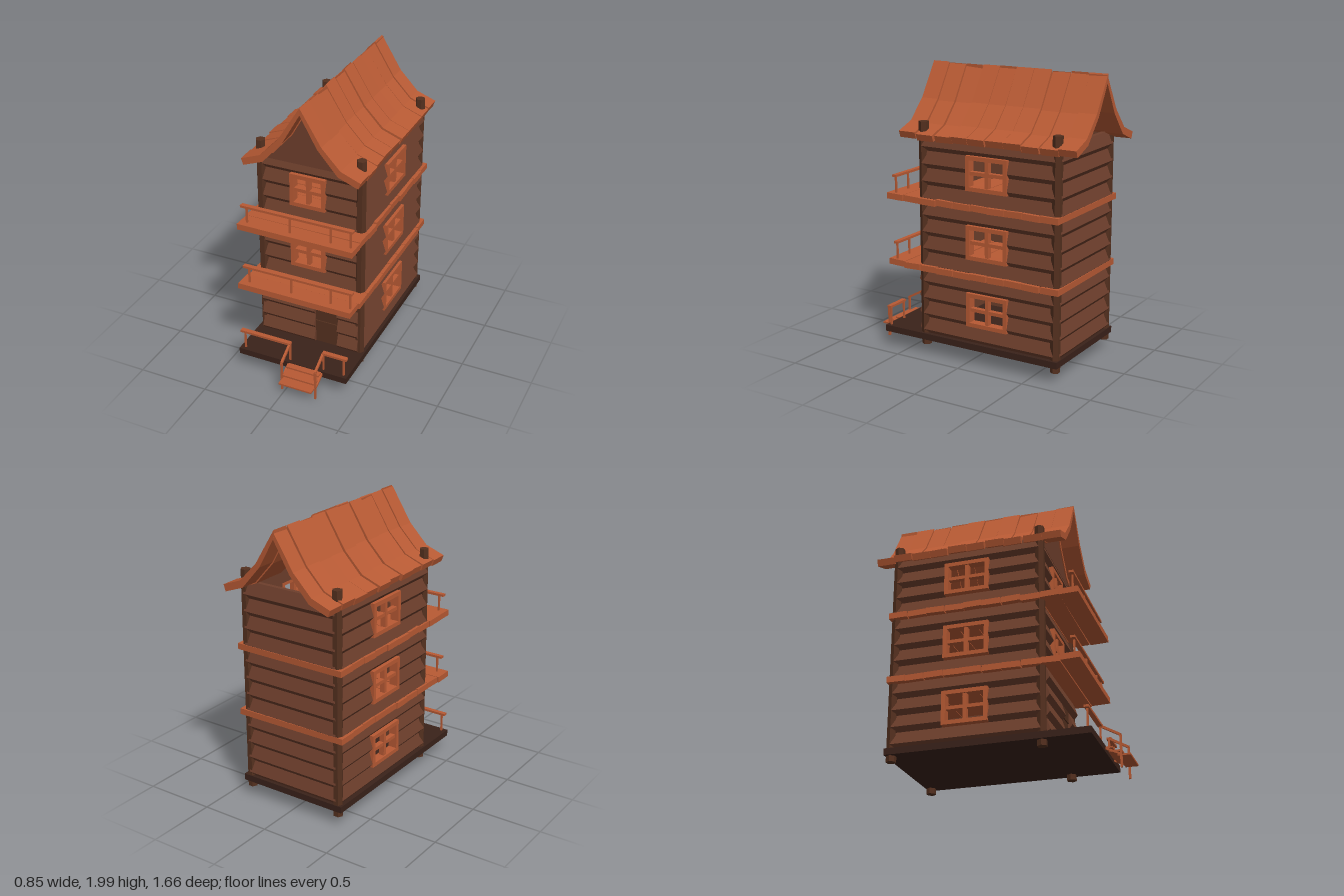
import * as THREE from 'three';

const mat = (color) => new THREE.MeshStandardMaterial({ color, flatShading: true, side: THREE.DoubleSide });
const orange = mat(0xb85a34), brown = mat(0x6e3f2c), postBrown = mat(0x54301f), dark = mat(0x3a221a), doorBrown = mat(0x54301f);

// Small seeded jitter in -1..1
let seed = 7;
const jitter = () => {
  seed = (seed * 16807) % 2147483647;
  return (seed / 2147483647) * 2 - 1;
};

function add(parent, name, geometry, material, x = 0, y = 0, z = 0) {
  const mesh = new THREE.Mesh(geometry, material);
  mesh.name = name;
  mesh.position.set(x, y, z);
  parent.add(mesh);
  return mesh;
}

// Box given by its minimum and maximum corners
function box(parent, name, material, x0, x1, y0, y1, z0, z1) {
  return add(parent, name, new THREE.BoxGeometry(x1 - x0, y1 - y0, z1 - z0), material,
    (x0 + x1) / 2, (y0 + y1) / 2, (z0 + z1) / 2);
}

// Sloped square bar between two points sharing the same x
function bar(parent, name, x, y0, z0, y1, z1, t) {
  const length = Math.hypot(y1 - y0, z1 - z0);
  const m = add(parent, name, new THREE.BoxGeometry(t, t, length), orange, x, (y0 + y1) / 2, (z0 + z1) / 2);
  m.rotation.x = -Math.atan2(y1 - y0, z1 - z0);
}

function extrude(points, depth) {
  const shape = new THREE.Shape(points.map(([x, y]) => new THREE.Vector2(x, y)));
  return new THREE.ExtrudeGeometry(shape, { depth, bevelEnabled: false });
}

const BASE = 0.15, PITCH = 0.1175, COURSES = 12;

// One lapped plank from a to b along local x, facing local +z
function plank(parent, a, b, y, out) {
  const g = extrude([[-0.03, y], [out, y], [out + 0.027, y + 0.033], [out, y + PITCH], [-0.03, y + PITCH]], b - a);
  g.rotateY(-Math.PI / 2);
  add(parent, 'wallPlank', g, brown, b, 0, 0);
}

// Window frame with crossing bars, two courses high
function windowFrame(parent, a, b, course) {
  const y0 = BASE + PITCH * course + 0.006, y1 = y0 + PITCH * 2;
  const w = new THREE.Group();
  w.name = 'window';
  parent.add(w);
  const xm = (a + b) / 2, ym = (y0 + y1) / 2, f = 0.028;
  for (const [l, r] of [[a, a + f], [b - f, b]]) box(w, 'frameSide', orange, l, r, y0, y1, -0.03, 0.032);
  for (const [l, r] of [[y0, y0 + f], [y1 - f, y1]]) box(w, 'frameEnd', orange, a + f, b - f, l, r, -0.03, 0.032);
  box(w, 'uprightBar', orange, xm - 0.013, xm + 0.013, y0 + f, y1 - f, -0.015, 0.022);
  box(w, 'crossBar', orange, a + f, b - f, ym - 0.012, ym + 0.012, -0.016, 0.02);
}

// Wall of planks; openings are {a, b, from, to, window}
function wall(house, name, x, z, turn, a, b, openings, outAt = () => 0) {
  const g = new THREE.Group();
  g.name = name;
  g.position.set(x, 0, z);
  g.rotation.y = turn;
  house.add(g);
  for (let i = 0; i < COURSES; i++) {
    const y = BASE + PITCH * i;
    const hole = openings.find((o) => i >= o.from && i <= o.to);
    if (hole) {
      plank(g, a, hole.a, y, outAt(i));
      plank(g, hole.b, b, y, outAt(i));
    } else plank(g, a, b, y, outAt(i));
  }
  for (const o of openings) if (o.window) windowFrame(g, o.a, o.b, o.from);
}

// Railing along x with posts
function railing(parent, x0, x1, y0, y1, z, posts) {
  const g = new THREE.Group();
  g.name = 'railing';
  parent.add(g);
  box(g, 'handrail', orange, x0, x1, y1 - 0.016, y1, z - 0.016, z + 0.016);
  for (const x of posts) box(g, 'railPost', orange, x - 0.006, x + 0.006, y0, y1 - 0.016, z - 0.006, z + 0.006);
}

export function createModel() {
  const house = new THREE.Group();
  house.name = 'timberHouse';

  // Ground platform and corner posts
  box(house, 'platform', dark, -0.405, 0.405, 0.11, 0.155, -0.705, 0.67);
  for (const x of [-0.36, 0.36]) for (const z of [0.345, -0.67]) {
    const g = new THREE.CylinderGeometry(0.034, 0.034, 1.57, 6);
    g.rotateY(Math.PI / 2);
    add(house, 'cornerPost', g, postBrown, x, 0.855, z);
  }

  // Walls, with windows on three storeys at the sides and two at the front
  const storeys = (a, b, starts) => starts.map((from) => ({ a, b, from, to: from + 1, window: true }));
  wall(house, 'leftWall', 0.368, 0, Math.PI / 2, -0.345, 0.67, storeys(0.005, 0.32, [1, 5, 9]));
  wall(house, 'rightWall', -0.368, 0, -Math.PI / 2, -0.67, 0.345, storeys(-0.32, -0.005, [1, 5, 9]));
  wall(house, 'backWall', 0, -0.677, Math.PI, -0.36, 0.36, []);
  wall(house, 'frontWall', 0, 0.345, 0, -0.36, 0.36,
    [{ a: 0.04, b: 0.21, from: 0, to: 2 }, ...storeys(-0.14, 0.115, [5, 9])], (i) => (i < 4 ? 0.026 : 0));

  // Door of stacked panels
  for (let i = 0; i < 4; i++) {
    box(house, 'doorPanel', doorBrown, 0.04, 0.21, 0.155 + i * 0.089, 0.242 + i * 0.089, 0.33, 0.365 + (i % 2) * 0.006);
  }

  // Front gable; the back stays open
  add(house, 'frontGable', extrude([[-0.36, 1.52], [0.36, 1.52], [0.26, 1.585], [0.11, 1.74], [0, 1.96],
    [-0.125, 1.745], [-0.27, 1.59]], 0.03), brown, 0, 0, 0.33);

  // Upper floors of cross boards, reaching out as balconies
  for (const y of [0.632, 1.103]) {
    for (let i = 0; i < 10; i++) {
      const m = add(house, 'floorBoard', new THREE.BoxGeometry(0.83, 0.042, 0.129), orange,
        jitter() * 0.008, y + jitter() * 0.003, 0.553 - i * 0.133);
      m.rotation.y = jitter() * 0.012;
      m.rotation.x = jitter() * 0.05;
    }
    railing(house, -0.4, 0.405, y + 0.02, y + 0.152, 0.566, [-0.36, -0.045, 0.245, 0.385]);
  }

  // Ground railings on both sides of the stairs
  railing(house, -0.4, -0.02, 0.155, 0.3, 0.64, [-0.37, -0.025]);
  railing(house, 0.22, 0.4, 0.155, 0.3, 0.64, [0.225, 0.375]);

  // Stairs
  const stairs = new THREE.Group();
  stairs.name = 'stairs';
  house.add(stairs);
  [[0.08, 0.745, 0.83], [0.11, 0.695, 0.775], [0.138, 0.65, 0.715]].forEach(([y, z0, z1]) =>
    box(stairs, 'step', orange, -0.022, 0.222, y, y + 0.012, z0, z1));
  for (const x of [-0.025, 0.225]) {
    box(stairs, 'stairPost', orange, x - 0.007, x + 0.007, 0, 0.22, 0.763, 0.777);
    bar(stairs, 'stairRail', x, 0.292, 0.64, 0.218, 0.772, 0.016);
    bar(stairs, 'stringer', x, 0.14, 0.66, 0.085, 0.775, 0.014);
  }

  // Curved roof of bent boards, mirrored about the ridge
  const profile = [[0, 1.99], [0.148, 1.752], [0.28, 1.615], [0.418, 1.563], [0.402, 1.518], [0.262, 1.57], [0.12, 1.73], [0, 1.94]];
  for (const side of [1, -1]) {
    const half = new THREE.Group();
    half.name = side > 0 ? 'leftRoof' : 'rightRoof';
    house.add(half);
    for (let i = 0; i < 10; i++) {
      const g = extrude(profile.map(([x, y]) => [x * side, y]), 0.129);
      g.translate(0, 0, -0.0645);
      const m = add(half, 'roofBoard', g, orange, side * jitter() * 0.007, jitter() * 0.006, 0.435 - i * 0.133);
      m.rotation.y = jitter() * 0.02;
    }
  }
  return house;
}
